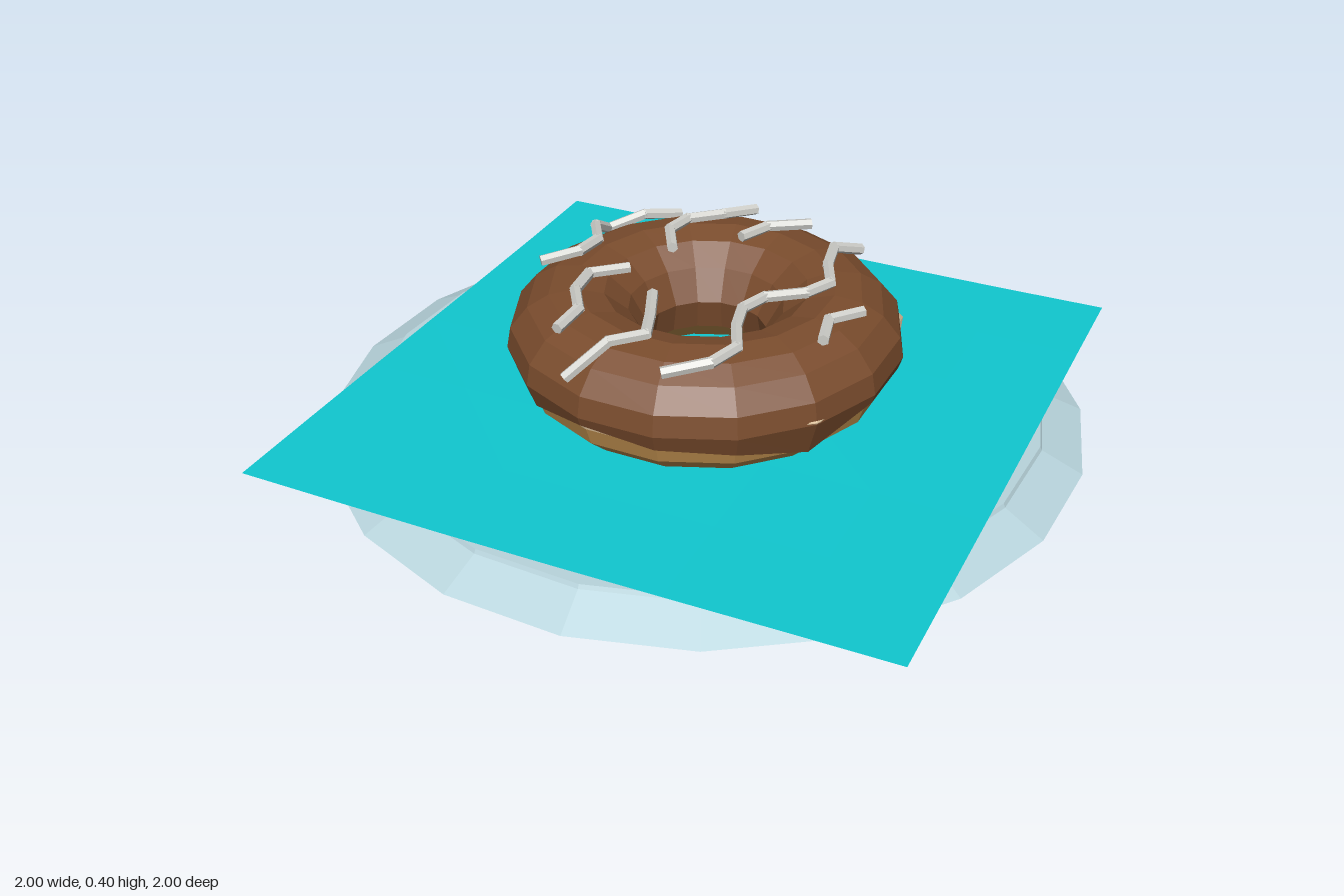
import * as THREE from 'three';
import { mergeGeometries } from 'three/addons/utils/BufferGeometryUtils.js';

const SIDES = 16;

function material(name, color, extra = {}) {
  return new THREE.MeshStandardMaterial({ name, color, flatShading: true, ...extra });
}

// Revolves [radius, y] pairs; adjust(vertex, side, row) may move each vertex.
function lathe(profile, sides, adjust) {
  const geo = new THREE.LatheGeometry(profile.map(([r, y]) => new THREE.Vector2(r, y)), sides);
  if (adjust) {
    const pos = geo.attributes.position;
    const v = new THREE.Vector3();
    for (let i = 0; i < pos.count; i++) {
      v.fromBufferAttribute(pos, i);
      adjust(v, Math.floor(i / profile.length) % sides, i % profile.length);
      pos.setXYZ(i, v.x, v.y, v.z);
    }
  }
  geo.computeVertexNormals();
  return geo;
}

// Six-sided rod between two points
function rod(a, b, radius) {
  const dir = b.clone().sub(a);
  const geo = new THREE.CylinderGeometry(radius, radius, dir.length() + radius * 0.6, 6);
  geo.applyQuaternion(new THREE.Quaternion().setFromUnitVectors(
    new THREE.Vector3(0, 1, 0), dir.normalize()));
  const mid = a.clone().add(b).multiplyScalar(0.5);
  return geo.translate(mid.x, mid.y, mid.z);
}

export function createModel() {
  const model = new THREE.Group();
  const plateBlue = material('paleBluePlate', 0xb9d5dd);
  const teal = material('tealNapkin', 0x10c8d0, { side: THREE.DoubleSide });
  const doughTan = material('doughTan', 0xc0904f);
  const cream = material('creamDough', 0xdcc09a);
  const chocolate = material('chocolate', 0x7a4c2d, { side: THREE.DoubleSide });
  const icing = material('paleIcing', 0xcfcfca);

  const add = (name, geo, mat) => {
    const mesh = new THREE.Mesh(geo, mat);
    mesh.name = name;
    model.add(mesh);
  };

  // Plate with sloping rim and a small raised lip
  add('plate', lathe([[0, 0], [0.985, 0], [0.88, 0.05], [0.875, 0.06], [0.84, 0.06],
    [0.82, 0.052], [0, 0.052]], 20), plateBlue);

  // Gently rippled square napkin, turned on the plate
  const napkin = new THREE.PlaneGeometry(1.687, 1.687, 6, 6);
  napkin.rotateX(-Math.PI / 2).rotateY(0.209);
  const np = napkin.attributes.position;
  for (let i = 0; i < np.count; i++) {
    np.setY(i, 0.07 + 0.005 * Math.sin(np.getX(i) * 3 + 1) * Math.cos(np.getZ(i) * 2.5));
  }
  napkin.computeVertexNormals();
  add('napkin', napkin, teal);

  // Dough ring
  add('dough', lathe([[0.33, 0.08], [0.41, 0.08], [0.465, 0.13], [0.488, 0.2], [0.48, 0.26],
    [0.42, 0.32], [0.33, 0.34], [0.24, 0.31], [0.18, 0.23], [0.19, 0.14], [0.25, 0.08],
    [0.33, 0.08]], SIDES), doughTan);

  // Pale band of dough that breaks through the glaze in a few places
  const bulges = { 2: 1.055, 15: 1.04 };
  add('paleBand', lathe([[0.483, 0.18], [0.492, 0.23], [0.475, 0.28]], SIDES, (v, side, row) => {
    if (row === 1 && bulges[side]) { v.x *= bulges[side]; v.z *= bulges[side]; }
  }), cream);

  // Chocolate glaze with an uneven lower edge
  const drip = [0.2, 0.19, 0.16, 0.14, 0.19, 0.18, 0.14, 0.17, 0.2, 0.18, 0.14, 0.16, 0.2, 0.18,
    0.17, 0.13];
  add('glaze', lathe([[0.49, 0.17], [0.51, 0.225], [0.5, 0.28], [0.455, 0.335], [0.4, 0.367],
    [0.33, 0.378], [0.26, 0.36], [0.2, 0.31], [0.155, 0.23], [0.17, 0.15]], SIDES,
  (v, side, row) => {
    if (row === 0) {
      const s = (0.505 - (0.21 - drip[side]) * 0.35) / 0.49;
      v.set(v.x * s, drip[side], v.z * s);
    }
  }), chocolate);

  // Zigzag icing lines, as x, z pairs laid over the glaze
  const lines = [
    [-0.16, -0.41, -0.08, -0.35, 0, -0.355, 0.08, -0.43, 0.16, -0.455, 0.24, -0.39, 0.33, -0.34],
    [-0.41, -0.14, -0.32, -0.15, -0.25, -0.22, -0.16, -0.25, -0.08, -0.19],
    [0.08, -0.17, 0.16, -0.24, 0.24, -0.24, 0.32, -0.18, 0.41, -0.14],
    [-0.49, -0.05, -0.4, 0.01, -0.32, 0.06, -0.24, 0.01, -0.155, -0.05],
    [0.24, -0.06, 0.33, -0.04, 0.41, 0.04],
    [-0.41, 0.18, -0.33, 0.26, -0.24, 0.27, -0.16, 0.21, -0.08, 0.17, 0, 0.18, 0.08, 0.25,
      0.16, 0.27, 0.24, 0.21, 0.33, 0.17, 0.41, 0.2],
    [-0.085, 0.41, 0, 0.37, 0.085, 0.41],
  ];
  for (const line of lines) {
    const points = [];
    for (let i = 0; i < line.length; i += 2) {
      const over = Math.max(0, Math.hypot(line[i], line[i + 1]) - 0.4);
      points.push(new THREE.Vector3(line[i], 0.388 - 9 * over * over, line[i + 1]));
    }
    const rods = points.slice(1).map((p, i) => rod(points[i], p, 0.015));
    add('icingLine', mergeGeometries(rods), icing);
  }

  return model;
}
